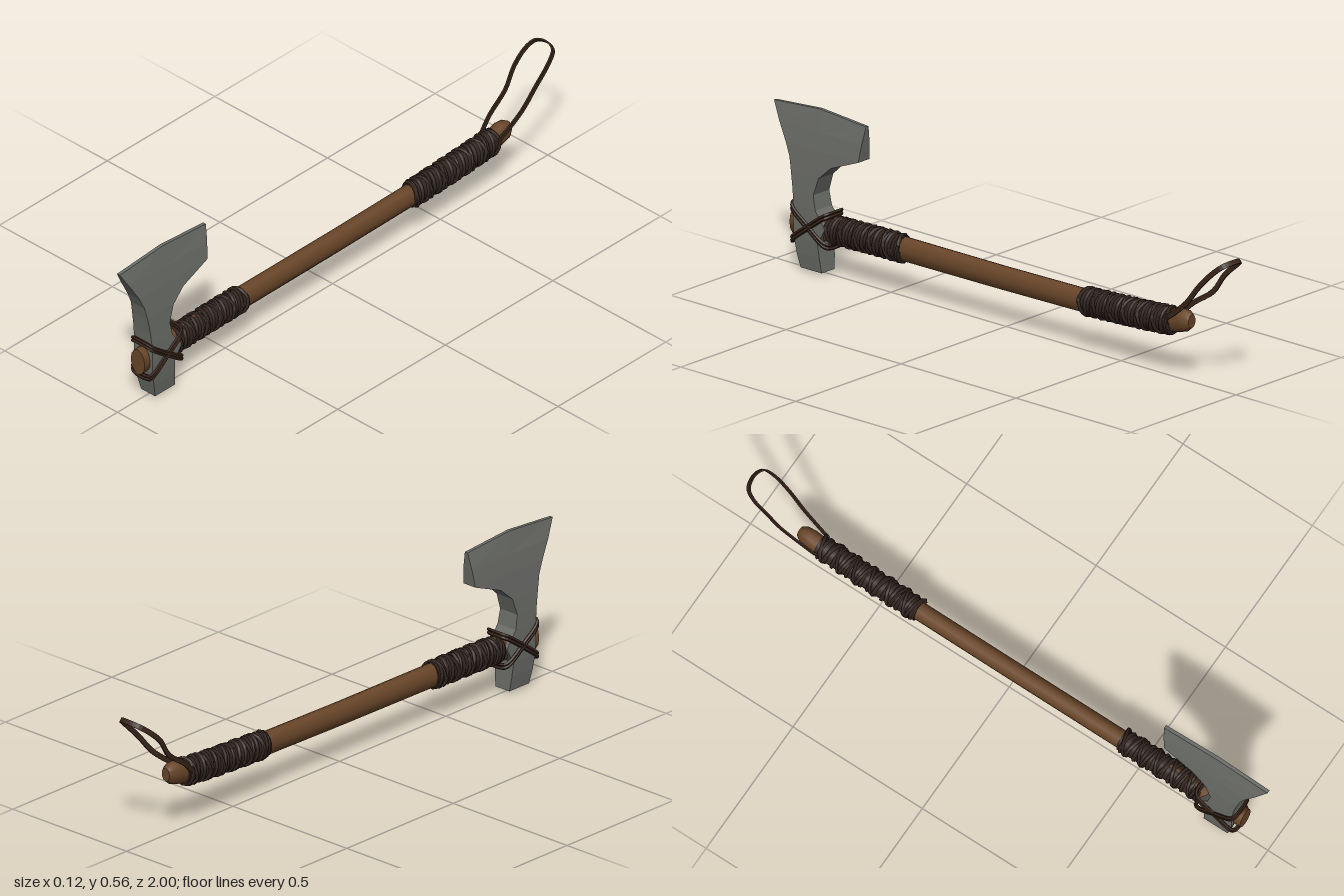
import * as THREE from 'three';

const CX = 0.004; // the shaft runs slightly right of centre

const material = (name, color, side = THREE.FrontSide, flatShading = false) => {
  const m = new THREE.MeshStandardMaterial({ color, side, flatShading });
  m.name = name;
  return m;
};

// shaft stations from head to pommel: z, centre y, half width, half height
const SHAFT = [
  [0.91, 0.153, 0.031, 0.048], [0.6, 0.161, 0.031, 0.045], [0.43, 0.163, 0.03, 0.042],
  [0, 0.165, 0.03, 0.041], [-0.35, 0.17, 0.03, 0.041], [-0.6, 0.181, 0.03, 0.041],
  [-0.72, 0.19, 0.03, 0.04], [-0.765, 0.202, 0.031, 0.042], [-0.795, 0.205, 0.028, 0.036],
  [-0.812, 0.207, 0.017, 0.023],
];

// centre height of the shaft at any z
function shaftY(z) {
  for (let i = 1; i < SHAFT.length; i++) {
    const [z0, y0] = SHAFT[i - 1], [z1, y1] = SHAFT[i];
    if (z >= z1) return y0 + (y1 - y0) * (z0 - z) / (z0 - z1);
  }
  return SHAFT[SHAFT.length - 1][1];
}

// elliptical rod through a list of stations
function rod(stations, sides) {
  const n = stations.length - 1;
  const geo = new THREE.CylinderGeometry(1, 1, 1, sides, n);
  const p = geo.attributes.position;
  for (let i = 0; i < p.count; i++) {
    const [z, y, rx, ry] = stations[Math.round((0.5 - p.getY(i)) * n)];
    p.setXYZ(i, CX + p.getX(i) * rx, y - p.getZ(i) * ry, z);
  }
  geo.computeVertexNormals();
  return geo;
}

// cord wound round the shaft
class Helix extends THREE.Curve {
  constructor(z0, z1, turns, rx, ry, phase) {
    super();
    Object.assign(this, { z0, z1, turns, rx, ry, phase });
  }
  getPoint(t, out = new THREE.Vector3()) {
    const z = this.z0 + (this.z1 - this.z0) * t;
    const a = this.phase + t * this.turns * Math.PI * 2;
    return out.set(CX + Math.cos(a) * this.rx, shaftY(z) + Math.sin(a) * this.ry, z);
  }
}

// axe head from horizontal sections: y, front z, back z, half thickness
function headGeometry() {
  const rows = [
    [0.54, 1.0, 0.6, 0.006], [0.48, 0.965, 0.607, 0.019], [0.42, 0.93, 0.615, 0.027],
    [0.375, 0.91, 0.73, 0.031], [0.33, 0.9, 0.78, 0.035], [0.27, 0.89, 0.8, 0.038],
    [0.22, 0.885, 0.79, 0.04], [0.165, 0.885, 0.747, 0.041], [0.11, 0.882, 0.78, 0.04],
    [0.06, 0.873, 0.775, 0.037], [0.01, 0.862, 0.77, 0.031],
  ];
  const pos = [], idx = [];
  rows.forEach(([y, f, b, w], i) => {
    const m = (f + b) / 2, ym = i === 0 ? 0.555 : y;
    pos.push(CX - w, y, f, CX + w, y, f, CX + w, ym, m, CX + w, y, b, CX - w, y, b, CX - w, ym, m);
  });
  const last = (rows.length - 1) * 6, top = rows.length * 6, bottom = top + 1;
  pos.push(CX, 0.555, 0.8, CX, 0, 0.816);
  for (let j = 0; j < 6; j++) {
    const k = (j + 1) % 6;
    for (let r = 0; r < last; r += 6) idx.push(r + j, r + 6 + j, r + k, r + k, r + 6 + j, r + 6 + k);
    idx.push(top, j, k, bottom, last + k, last + j);
  }
  const geo = new THREE.BufferGeometry();
  geo.setAttribute('position', new THREE.Float32BufferAttribute(pos, 3));
  geo.setIndex(idx);
  geo.computeVertexNormals();
  return geo;
}

// flat strap along a curve, its width lying along a fixed direction
function ribbon(curve, across, width, thick, steps) {
  const pos = [], idx = [];
  for (let i = 0; i <= steps; i++) {
    const c = curve.getPoint(i / steps);
    const side = curve.getTangent(i / steps).cross(across).normalize();
    for (const [a, b] of [[-1, -1], [1, -1], [1, 1], [-1, 1]]) {
      const q = c.clone().addScaledVector(across, a * width / 2).addScaledVector(side, b * thick / 2);
      pos.push(q.x, q.y, q.z);
    }
  }
  for (let i = 0; i < steps; i++) for (let j = 0; j < 4; j++) {
    const a = i * 4 + j, b = i * 4 + (j + 1) % 4;
    idx.push(a, b, a + 4, b, b + 4, a + 4);
  }
  const geo = new THREE.BufferGeometry();
  geo.setAttribute('position', new THREE.Float32BufferAttribute(pos, 3));
  geo.setIndex(idx);
  geo.computeVertexNormals();
  return geo;
}

export function createModel() {
  const model = new THREE.Group();
  model.name = 'axe';
  const steel = material('steel', 0x6b6d68, THREE.FrontSide, true);
  const wood = material('wood', 0x694629);
  const leather = material('dark leather', 0x33251f);
  const strapLeather = material('strap leather', 0x39251a, THREE.DoubleSide, true);

  const add = (name, geo, mat, parent = model) => {
    const mesh = new THREE.Mesh(geo, mat);
    mesh.name = name;
    parent.add(mesh);
    return mesh;
  };

  add('shaft', rod(SHAFT, 12), wood);
  add('axeHead', headGeometry(), steel);

  // leather grips: sleeve, tight winding and two crossing cords
  for (const [name, z0, z1] of [['frontGrip', 0.75, 0.435], ['rearGrip', -0.35, -0.735]]) {
    const grip = new THREE.Group();
    grip.name = name;
    model.add(grip);
    const sleeve = [];
    for (let i = 0; i <= 6; i++) {
      const z = z0 + (z1 - z0) * i / 6;
      sleeve.push([z, shaftY(z), 0.036, 0.045]);
    }
    add('sleeve', rod(sleeve, 14), leather, grip);
    const length = z0 - z1;
    const wind = (label, turns, rx, ry, r, phase) => add(label,
      new THREE.TubeGeometry(new Helix(z0, z1, turns, rx, ry, phase),
        Math.ceil(Math.abs(turns) * 16), r, 5), leather, grip);
    wind('winding', Math.round(length / 0.027), 0.035, 0.044, 0.007, 0);
    wind('crossCord', Math.round(length / 0.06), 0.039, 0.046, 0.006, 0.4);
    wind('crossCordReverse', -Math.round(length / 0.06), 0.039, 0.046, 0.006, 0.4);
  }

  // doubled cords crossing on both cheeks of the head
  const binding = new THREE.Group();
  binding.name = 'headBinding';
  model.add(binding);
  for (const s of [1, -1]) for (const d of [-0.006, 0.006]) {
    const y = (k) => 0.159 + s * k + d;
    const half = [[0.036, 0.06, 0.893], [0.045, 0.05, 0.884], [0.046, 0, 0.818],
      [0.043, -0.045, 0.755], [0.034, -0.052, 0.742]];
    const pts = [
      ...half.map(([x, k, z]) => new THREE.Vector3(CX + x, y(k), z)),
      ...half.slice().reverse().map(([x, k, z]) => new THREE.Vector3(CX - x, y(k), z)),
    ];
    const loop = new THREE.CatmullRomCurve3(pts, true, 'centripetal');
    add('bindingCord', new THREE.TubeGeometry(loop, 60, 0.006, 5, true), strapLeather, binding);
  }

  // wrist strap at the pommel
  const strap = new THREE.CatmullRomCurve3([
    [-0.034, 0.205, -0.725], [-0.043, 0.25, -0.775], [-0.05, 0.305, -0.855], [-0.055, 0.37, -0.9],
    [-0.054, 0.415, -0.95], [-0.038, 0.44, -0.982], [0.004, 0.448, -0.992], [0.042, 0.44, -0.98],
    [0.055, 0.41, -0.945], [0.055, 0.35, -0.885], [0.05, 0.285, -0.83], [0.044, 0.24, -0.775],
    [0.038, 0.205, -0.725],
  ].map((p) => new THREE.Vector3(...p)));
  add('wristStrap', ribbon(strap, new THREE.Vector3(0, 0.77, 0.64), 0.017, 0.006, 48), strapLeather);

  return model;
}
